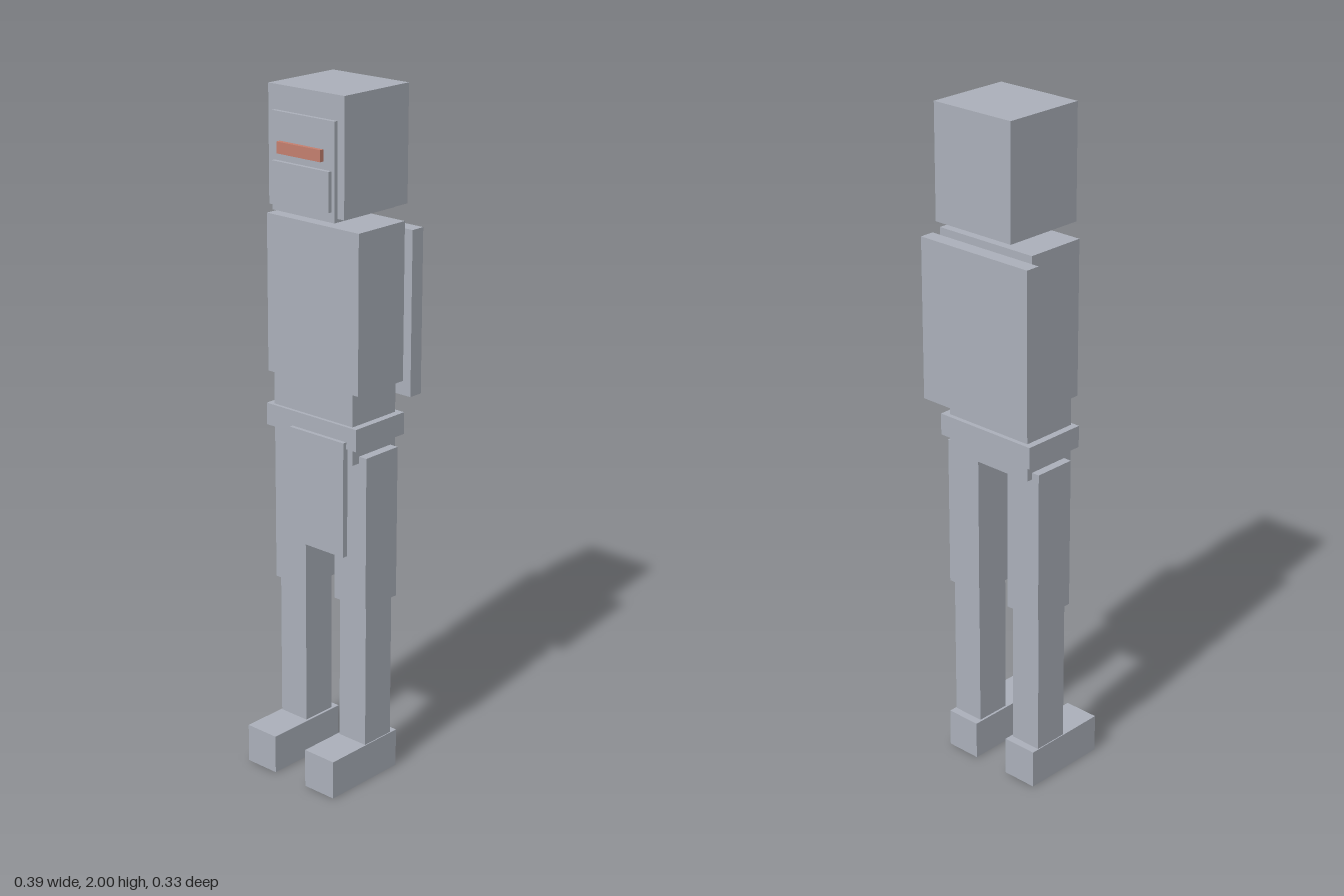
import * as THREE from 'three';

export function createModel() {
  const model = new THREE.Group();
  model.name = 'blockFigure';

  const greyArmour = new THREE.MeshStandardMaterial({ color: 0xabb0ba });
  greyArmour.name = 'grey armour';
  const redVisor = new THREE.MeshStandardMaterial({ color: 0xc47f6f });
  redVisor.name = 'red visor';

  // Adds a box given its extents along each axis.
  function block(name, [x0, x1], [y0, y1], [z0, z1], material = greyArmour, parent = model) {
    const mesh = new THREE.Mesh(new THREE.BoxGeometry(x1 - x0, y1 - y0, z1 - z0), material);
    mesh.position.set((x0 + x1) / 2, (y0 + y1) / 2, (z0 + z1) / 2);
    mesh.name = name;
    parent.add(mesh);
  }

  // Head: helmet around an inner head, with mouth plate and eye slit
  const head = new THREE.Group();
  head.name = 'head';
  model.add(head);
  block('helmet', [-0.137, 0.136], [1.672, 2], [-0.166, 0.088], greyArmour, head);
  block('innerHead', [-0.113, 0.112], [1.662, 1.932], [-0.14, 0.1], greyArmour, head);
  block('mouthPlate', [-0.104, 0.102], [1.69, 1.8], [0.09, 0.112], greyArmour, head);
  block('eyeSlit', [-0.08, 0.078], [1.823, 1.855], [0.105, 0.118], redVisor, head);

  // Torso and back panel
  block('torso', [-0.169, 0.167], [1.185, 1.637], [-0.12, 0.065]);
  block('backPanel', [-0.195, 0.193], [1.143, 1.616], [-0.166, -0.122]);

  // Waist, belt and hanging cloth
  block('waist', [-0.148, 0.146], [0.98, 1.185], [-0.113, 0.063]);
  block('belt', [-0.169, 0.167], [1.028, 1.092], [-0.127, 0.073]);
  block('frontCloth', [-0.069, 0.132], [0.71, 1.048], [0.068, 0.085]);

  // Legs, mirrored
  for (const side of [-1, 1]) {
    const leg = new THREE.Group();
    leg.name = side > 0 ? 'leftLeg' : 'rightLeg';
    model.add(leg);
    const span = (inner, outer) => (side > 0 ? [inner, outer] : [-outer, -inner]);
    block('thigh', span(0.056, 0.173), [0.55, 1], [-0.094, 0.036], greyArmour, leg);
    block('shin', span(0.066, 0.165), [0.115, 0.55], [-0.083, 0.025], greyArmour, leg);
    block('foot', span(0.059, 0.168), [0, 0.116], [-0.107, 0.164], greyArmour, leg);
  }

  return model;
}
